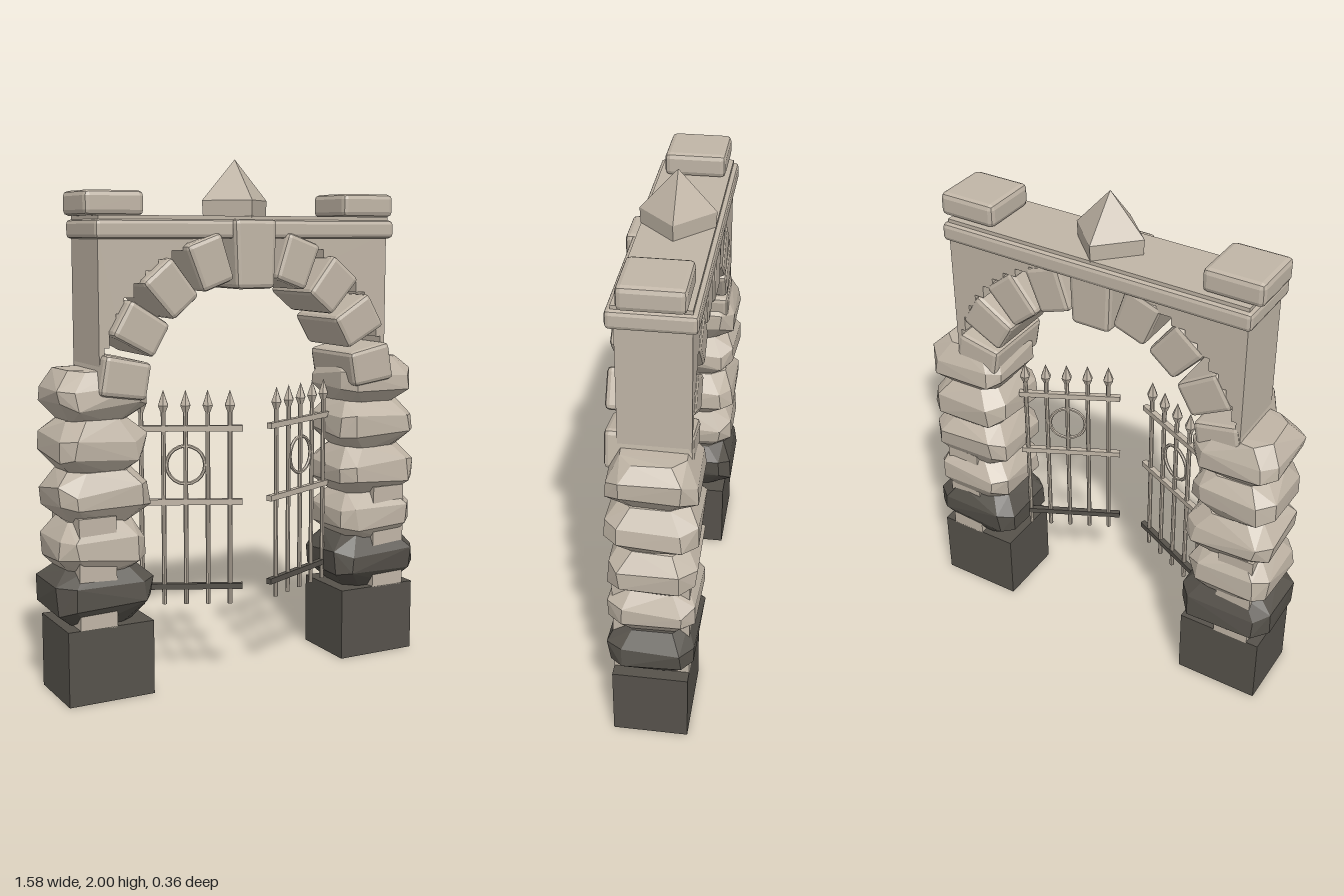
import * as THREE from 'three';
import { RoundedBoxGeometry } from 'three/addons/geometries/RoundedBoxGeometry.js';
import { ConvexGeometry } from 'three/addons/geometries/ConvexGeometry.js';

const material = (name, color) => {
  const m = new THREE.MeshStandardMaterial({ color, flatShading: true });
  m.name = name;
  return m;
};

export function createModel() {
  const stone = material('pale stone', 0xc0b5a6);
  const dark = material('dark stone', 0x56524b);
  const model = new THREE.Group();
  model.name = 'stoneGateway';
  const gateway = new THREE.Group();
  gateway.name = 'gateway';
  gateway.position.x = 0.007;
  model.add(gateway);

  let seed = 11;
  const random = () => (seed = (seed * 16807) % 2147483647) / 2147483647;
  const jitter = (a) => (random() - 0.5) * 2 * a;

  function add(parent, name, geometry, mat, x = 0, y = 0, z = 0) {
    const mesh = new THREE.Mesh(geometry, mat);
    mesh.name = name;
    mesh.position.set(x, y, z);
    parent.add(mesh);
    return mesh;
  }
  const block = (w, h, d, r) => new RoundedBoxGeometry(w, h, d, 1, r);

  // Rough boulder: irregular eight-cornered rings, widest at the middle
  function boulder(w, h, d) {
    const points = [];
    const rings = [[-0.5, 0.07], [-0.16, 0.005], [0.17, 0.005], [0.5, 0.055]];
    for (const [level, inset] of rings) {
      const a = w / 2 - inset, b = d / 2 - inset * 0.8, cut = 0.05;
      for (const sx of [-1, 1]) for (const sz of [-1, 1]) {
        for (const [px, pz] of [[a, b - cut], [a - cut, b]]) {
          const y = level * h + (Math.abs(level) < 0.4 ? jitter(0.02) : jitter(0.004));
          points.push(new THREE.Vector3(sx * (px + jitter(0.008)), y, sz * (pz + jitter(0.008))));
        }
      }
    }
    return new ConvexGeometry(points);
  }

  // Pillars: square base, inner core and five stacked boulders
  const courses = [[0.285, 0.5, 0.385], [0.47, 0.68, 0.345], [0.66, 0.865, 0.36], [0.85, 1.05, 0.35], [1.035, 1.23, 0.35]];
  for (const s of [-1, 1]) {
    const pillar = new THREE.Group();
    pillar.name = s > 0 ? 'leftPillar' : 'rightPillar';
    gateway.add(pillar);
    add(pillar, 'pillarBase', new THREE.BoxGeometry(0.34, 0.285, 0.285), dark, s * 0.588, 0.1425, 0);
    add(pillar, 'pillarCore', new THREE.BoxGeometry(0.145, 0.42, 0.285), stone, s * 0.637, 0.49, 0);
    courses.forEach(([y0, y1, w], i) => {
      add(pillar, 'pillarStone', boulder(w, y1 - y0, 0.33), i ? stone : dark, s * (0.596 + jitter(0.006)), (y0 + y1) / 2, -0.006);
    });
  }

  // Arch wall with a stepped opening
  const cy = 1.11, top = 1.72, half = 0.615, radius = 0.61, steps = 26;
  const wall = new THREE.Shape();
  wall.moveTo(-half, 1.18);
  wall.lineTo(-half, top);
  wall.lineTo(half, top);
  wall.lineTo(half, 1.18);
  const start = 0.115;
  let last = radius * Math.cos(start);
  wall.lineTo(last, 1.18);
  for (let i = 1; i <= steps; i++) {
    const a = start + (Math.PI - 2 * start) * i / steps;
    const x = radius * Math.cos(a), y = Math.min(cy + radius * Math.sin(a), top - 0.015);
    if (a < Math.PI / 2) {
      wall.lineTo(last, y);
      wall.lineTo(x, y);
    } else {
      wall.lineTo(x, wall.currentPoint.y);
      wall.lineTo(x, y);
    }
    last = x;
  }
  const wallGeometry = new THREE.ExtrudeGeometry(wall, { depth: 0.26, bevelEnabled: false });
  add(gateway, 'archWall', wallGeometry, stone, 0, 0, -0.135);

  // Arch stones, fanned around the opening, with a larger keystone
  for (let i = 0; i < 9; i++) {
    const a = THREE.MathUtils.degToRad(10 + 20 * i);
    const key = i === 4;
    const r = key ? 0.535 : 0.537;
    const geometry = key ? block(0.26, 0.17, 0.325, 0.018) : block(0.185, 0.145, 0.315, 0.018);
    const p = geometry.attributes.position;
    for (let j = 0; j < p.count; j++) p.setY(j, p.getY(j) * (1 + p.getX(j) * 0.5));
    const mesh = add(gateway, key ? 'keystone' : 'archStone', geometry, stone, r * Math.cos(a), cy + r * Math.sin(a), 0.016);
    mesh.rotation.z = a;
  }

  // Cornice, end caps and pointed finial
  add(gateway, 'cornice', block(1.265, 0.07, 0.31, 0.016), stone, 0, 1.737, 0);
  add(gateway, 'corniceTop', new THREE.BoxGeometry(1.23, 0.03, 0.27), stone, 0, 1.771, 0);
  for (const s of [-1, 1]) {
    add(gateway, 'endCap', block(0.233, 0.09, 0.235, 0.02), stone, s * 0.541, 1.83, -0.004);
  }
  add(gateway, 'finialBase', new THREE.CylinderGeometry(0.14, 0.136, 0.065, 4), stone, 0, 1.8125, 0);
  add(gateway, 'finialPoint', new THREE.ConeGeometry(0.14, 0.155, 4), stone, 0, 1.9225, 0);

  // Open gate leaves: five spiked bars, three rails and a ring
  const spike = [[0, 0], [0.011, 0], [0.022, 0.026], [0, 0.085]].map(([x, y]) => new THREE.Vector2(x, y));
  for (const s of [-1, 1]) {
    const leaf = new THREE.Group();
    leaf.name = s > 0 ? 'leftGate' : 'rightGate';
    leaf.position.set(s * 0.427, 0, -0.005);
    leaf.rotation.y = s * 0.45;
    gateway.add(leaf);
    for (let i = 0; i < 5; i++) {
      const x = -s * (0.026 + 0.084 * i);
      add(leaf, 'gateBar', new THREE.CylinderGeometry(0.009, 0.009, 0.75, 8), stone, x, 0.685, 0);
      add(leaf, 'gateSpike', new THREE.LatheGeometry(spike, 6), stone, x, 1.055, 0);
    }
    for (const y of [0.38, 0.71, 0.993]) {
      add(leaf, 'gateRail', new THREE.BoxGeometry(0.41, 0.022, 0.022), y < 0.5 ? dark : stone, -s * 0.205, y, 0);
    }
    add(leaf, 'gateRing', new THREE.TorusGeometry(0.073, 0.007, 6, 20), stone, -s * 0.194, 0.853, 0);
  }
  return model;
}
